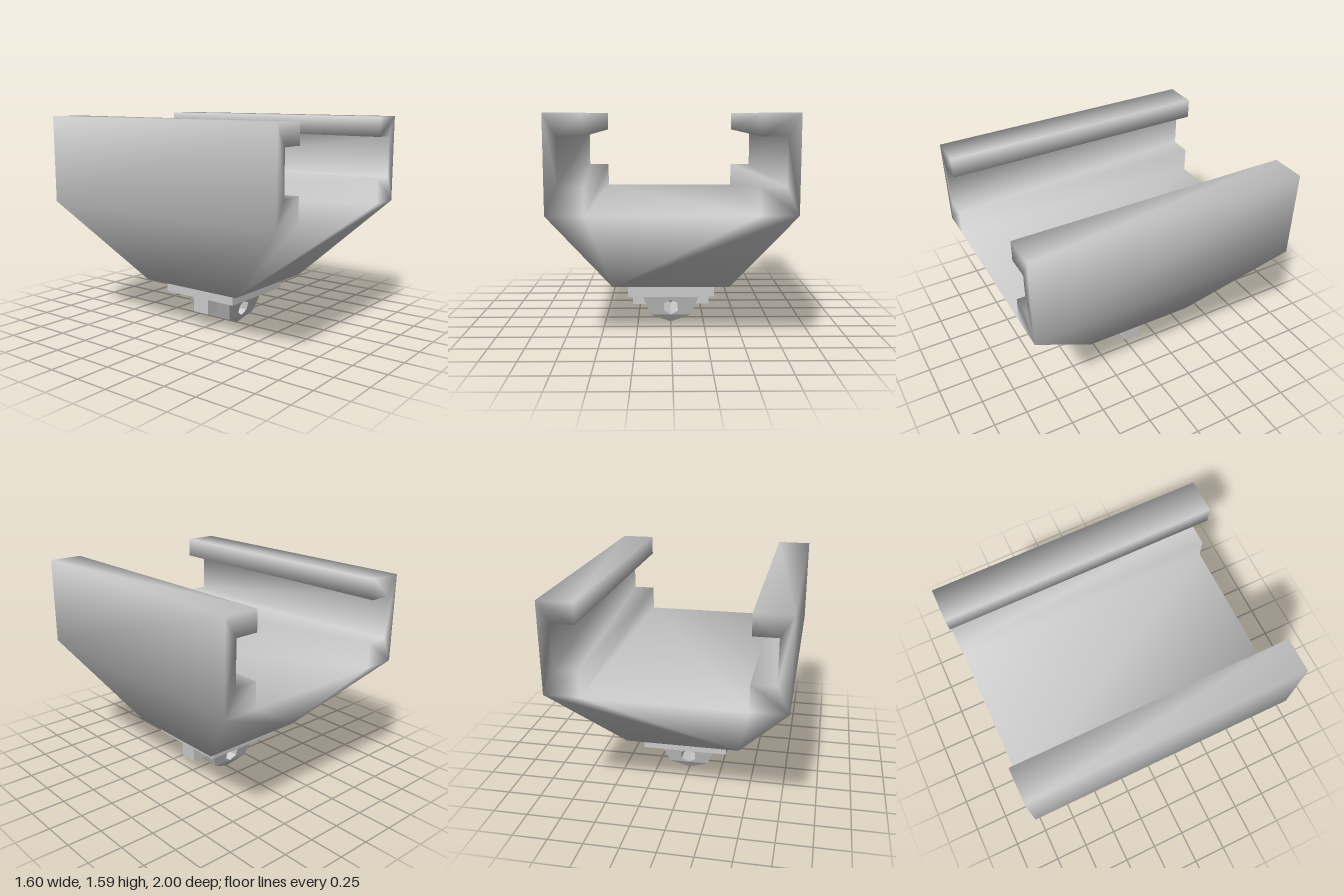
import * as THREE from 'three';

const material = new THREE.MeshStandardMaterial({ color: 0xcccccc });

function addMesh(parent, name, geometry, x = 0, y = 0, z = 0) {
  const mesh = new THREE.Mesh(geometry, material);
  mesh.name = name;
  mesh.position.set(x, y, z);
  parent.add(mesh);
}

// Cradle: channel profile swept along z, its underside drawn in at both ends
function cradleGeometry() {
  const half = [[0.42, 0.345], [0.8, 0.945], [0.8, 1.585], [0.55, 1.585], [0.55, 1.44],
    [0.715, 1.44], [0.715, 1.13], [0.55, 1.13], [0.55, 0.945]];
  const mirrored = half.map(([x, y]) => [-x, y]).reverse();
  // Counter-clockwise loop starting at the lower left corner
  const loop = [mirrored[8], ...half, ...mirrored.slice(0, 8)];
  const n = loop.length;
  const positions = [];
  for (const side of [1, -1]) {
    for (const [x, y] of loop) positions.push(x, y, side * (y < 0.5 ? 0.42 : 1));
  }

  // End faces: sloping lower panel plus the two hooked rails
  const caps = [[0, 1, 2], [0, 2, 9], [0, 9, 10], [0, 10, 17]];
  for (const start of [2, 10]) {
    const outline = loop.slice(start, start + 8).map(([x, y]) => new THREE.Vector2(x, y));
    for (const tri of THREE.ShapeUtils.triangulateShape(outline, [])) {
      caps.push(tri.map((i) => i + start));
    }
  }
  const index = [];
  for (const [a, b, c] of caps) index.push(a, b, c, n + a, n + c, n + b);

  // Long faces around the profile
  for (let i = 0; i < n; i++) {
    const j = (i + 1) % n;
    index.push(i, n + i, n + j, i, n + j, j);
  }

  const geometry = new THREE.BufferGeometry();
  geometry.setAttribute('position', new THREE.Float32BufferAttribute(positions, 3));
  geometry.setIndex(index);
  geometry.computeVertexNormals();
  return geometry;
}

// Knuckle section: extruded outline whose half depth changes linearly with height
function knuckleSection(points, y0, depth0, y1, depth1, hole) {
  const shape = new THREE.Shape(points.map(([x, y]) => new THREE.Vector2(x, y)));
  if (hole) shape.holes.push(hole);
  const geometry = new THREE.ExtrudeGeometry(shape, { depth: 1, bevelEnabled: false });
  const p = geometry.attributes.position;
  for (let i = 0; i < p.count; i++) {
    const depth = THREE.MathUtils.mapLinear(p.getY(i), y0, y1, depth0, depth1);
    p.setZ(i, p.getZ(i) > 0.5 ? depth : -depth);
  }
  geometry.computeVertexNormals();
  return geometry;
}

export function createModel() {
  const model = new THREE.Group();
  model.name = 'railCradle';

  addMesh(model, 'cradle', cradleGeometry());
  addMesh(model, 'mountingPlate', new THREE.BoxGeometry(0.63, 0.1, 0.63), 0, 0.295, 0);

  // Faceted knuckle with a hexagonal through hole
  const knuckle = new THREE.Group();
  knuckle.name = 'knuckle';
  model.add(knuckle);
  const hexagon = [];
  for (let i = 0; i < 6; i++) {
    const a = Math.PI / 2 - i * Math.PI / 3;
    hexagon.push(new THREE.Vector2(0.062 * Math.cos(a), 0.13 + 0.062 * Math.sin(a)));
  }
  addMesh(knuckle, 'knuckleShoulder', knuckleSection(
    [[-0.21, 0.22], [0.21, 0.22], [0.19, 0.247], [-0.19, 0.247]], 0.22, 0.207, 0.247, 0.195));
  addMesh(knuckle, 'knuckleBody', knuckleSection(
    [[-0.15, 0.065], [0.15, 0.065], [0.21, 0.22], [-0.21, 0.22]],
    0.065, 0.163, 0.22, 0.207, new THREE.Path(hexagon)));
  addMesh(knuckle, 'knuckleTip', knuckleSection(
    [[0, 0], [0.15, 0.065], [-0.15, 0.065]], 0, 0.12, 0.065, 0.163));

  // Side lugs hanging under the plate
  for (const side of [1, -1]) {
    addMesh(model, side > 0 ? 'leftLug' : 'rightLug',
      new THREE.BoxGeometry(0.145, 0.13, 0.14), side * 0.2205, 0.19, 0);
  }
  return model;
}
